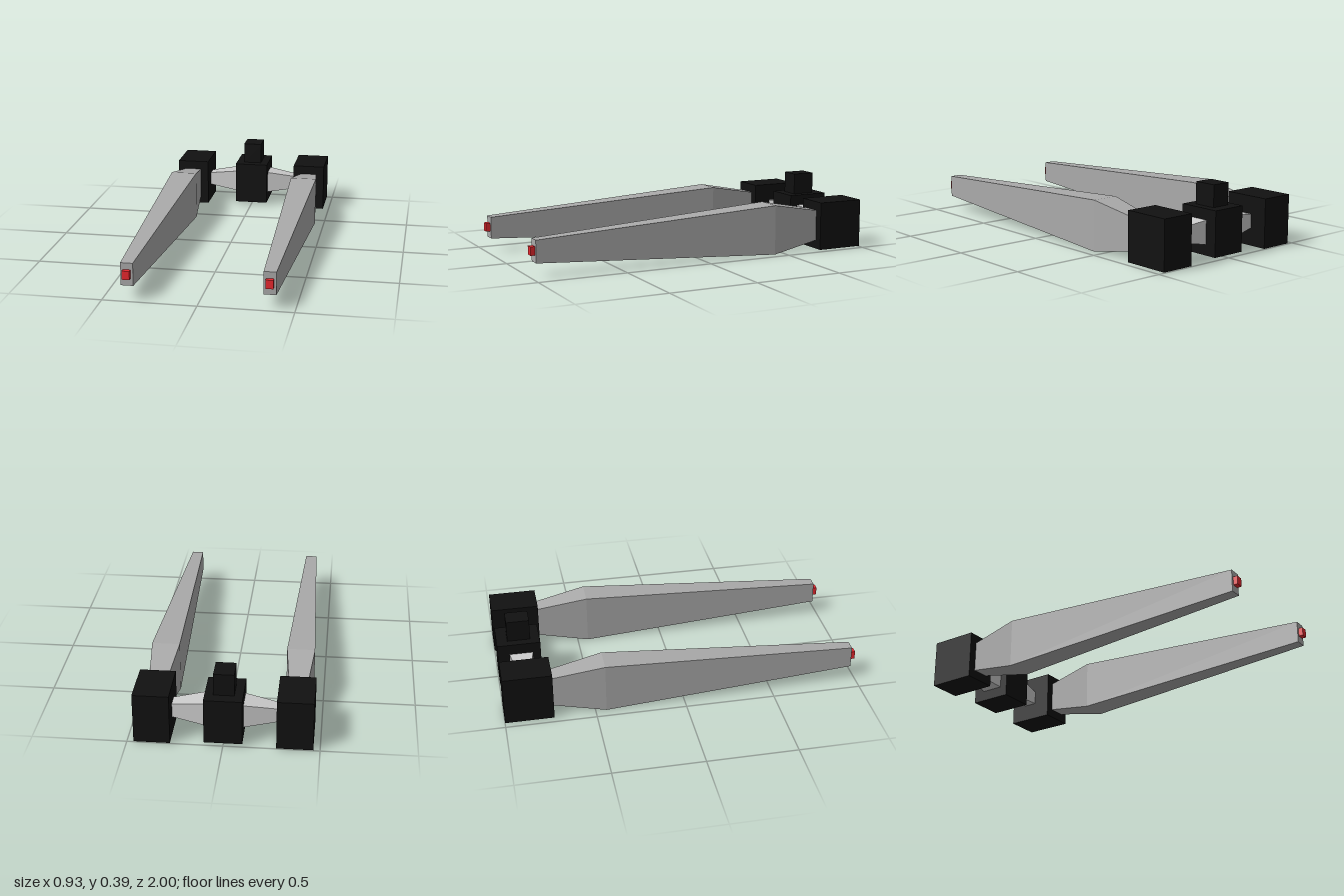
import * as THREE from 'three';

const paint = (color) => new THREE.MeshStandardMaterial({ color, flatShading: true });

// Box given by its lower and upper corners
function block(name, min, max, material) {
  const size = max.map((v, i) => v - min[i]);
  const mesh = new THREE.Mesh(new THREE.BoxGeometry(...size), material);
  mesh.position.set(...max.map((v, i) => (v + min[i]) / 2));
  mesh.name = name;
  return mesh;
}

// Box along z reshaped through rectangular sections [z, halfWidth, bottom, top]
function taperedBeam(name, sections, material) {
  const steps = sections.length - 1;
  const geometry = new THREE.BoxGeometry(2, 2, 1, 1, 1, steps);
  const p = geometry.attributes.position;
  for (let i = 0; i < p.count; i++) {
    const [z, half, bottom, top] = sections[Math.round((p.getZ(i) + 0.5) * steps)];
    p.setXYZ(i, p.getX(i) * half, p.getY(i) > 0 ? top : bottom, z);
  }
  geometry.computeVertexNormals();
  const mesh = new THREE.Mesh(geometry, material);
  mesh.name = name;
  return mesh;
}

export function createModel() {
  const model = new THREE.Group();
  model.name = 'twinProngCraft';
  const black = paint(0x111111);
  const grey = paint(0xaaaaaa);
  const lightGrey = paint(0xcccccc);
  const red = paint(0xe8282e);

  // Central body with its raised tower
  model.add(block('centralBody', [-0.1, 0.018, -0.997], [0.1, 0.267, -0.755], black));
  model.add(block('tower', [-0.054, 0.267, -0.936], [0.054, 0.388, -0.807], black));

  for (const side of [1, -1]) {
    const label = side > 0 ? 'left' : 'right';
    const x = side * 0.37;

    // Strut narrowing outward from the body to the rear block
    const strut = taperedBeam(label + 'Strut', [
      [0.1, 0.065, 0.078, 0.207],
      [0.276, 0.036, 0.103, 0.18],
    ], lightGrey);
    strut.rotation.y = side * Math.PI / 2;
    strut.position.z = -0.865;
    model.add(strut);

    // Rear block
    model.add(block(label + 'RearBlock', [x - 0.095, 0.005, -1], [x + 0.095, 0.279, -0.73], black));

    // Long prong, widest a little ahead of the rear block
    const prong = taperedBeam(label + 'Prong', [
      [-0.735, 0.048, 0.055, 0.228],
      [-0.44, 0.076, 0.002, 0.283],
      [0.975, 0.033, 0.08, 0.203],
    ], grey);
    prong.position.x = x;
    model.add(prong);

    // Red tip
    model.add(block(label + 'Tip', [x - 0.02, 0.12, 0.97], [x + 0.02, 0.167, 1], red));
  }
  return model;
}
